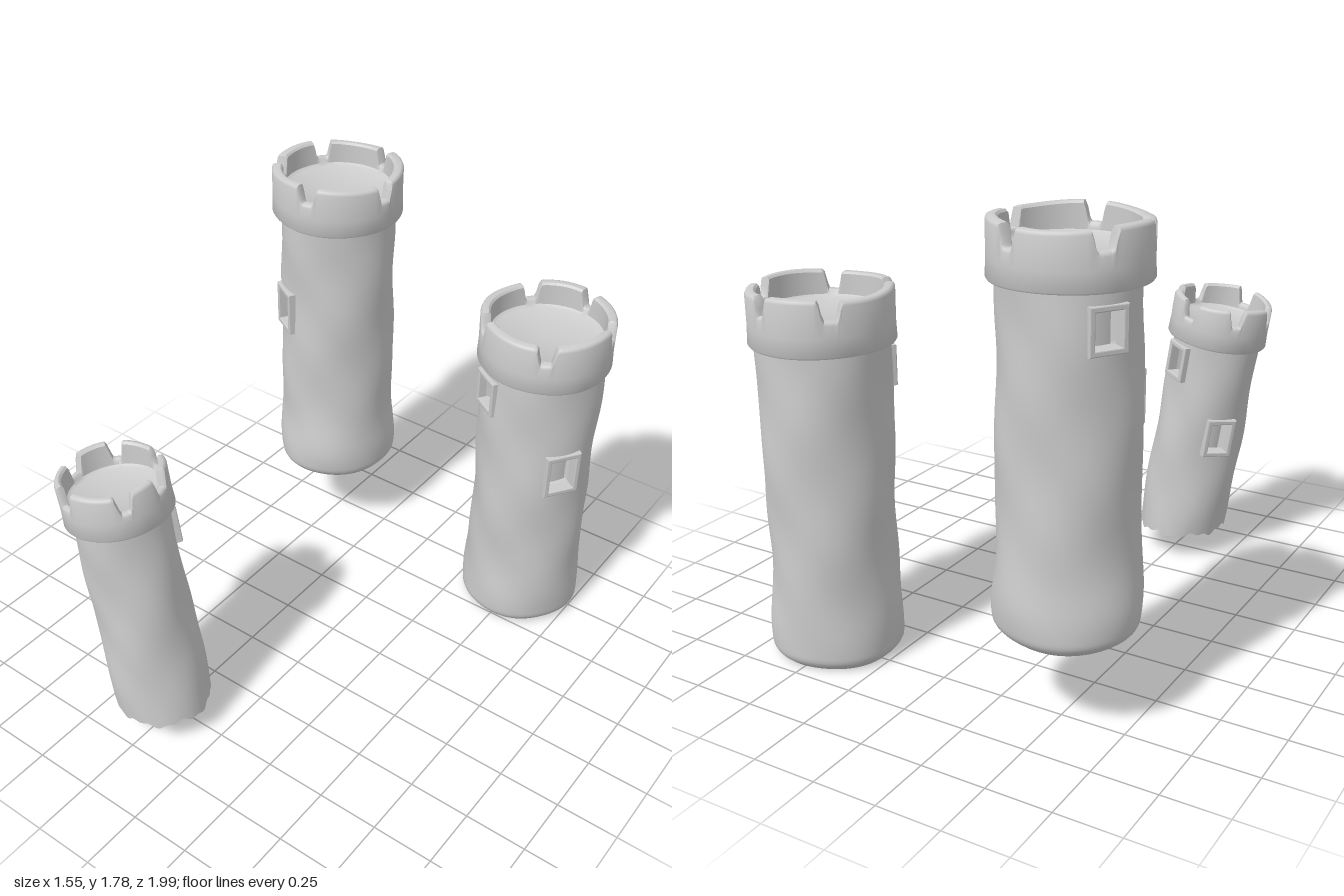
import * as THREE from 'three';
import { toCreasedNormals } from 'three/addons/utils/BufferGeometryUtils.js';

const rad = THREE.MathUtils.degToRad;
const stone = new THREE.MeshStandardMaterial({ color: 0xcccccc, side: THREE.DoubleSide });

// Smallest signed difference between two angles
const angleDiff = (a, b) => Math.atan2(Math.sin(a - b), Math.cos(a - b));

// Closed rings stacked by a rule: point(row, angle) -> [radius, height]
function ringLoft(rows, cols, point) {
  const pos = [], index = [];
  for (let i = 0; i < rows; i++) {
    for (let j = 0; j < cols; j++) {
      const a = (j / cols) * Math.PI * 2;
      const [r, y] = point(i, a);
      pos.push(Math.sin(a) * r, y, Math.cos(a) * r);
      if (i === rows - 1) continue;
      const k = (j + 1) % cols, p = i * cols, q = p + cols;
      index.push(p + j, p + k, q + k, p + j, q + k, q + j);
    }
  }
  const g = new THREE.BufferGeometry();
  g.setAttribute('position', new THREE.Float32BufferAttribute(pos, 3));
  g.setIndex(index);
  // Enlarged while creasing so that close vertices stay distinct
  g.scale(100, 100, 100);
  return toCreasedNormals(g, 0.75).scale(0.01, 0.01, 0.01);
}

// Gentle hand-shaped unevenness of the wall
function wobble(a, y, seed) {
  return 0.004 * Math.sin(2 * a + 5 * y + seed)
    + 0.003 * Math.sin(3 * a - 11 * y + seed * 2)
    + 0.002 * Math.sin(5 * a + 17 * y + seed * 3);
}

// Round wall, pushed inwards behind every window
function makeBody(t) {
  const rows = 100;
  return ringLoft(rows, 128, (i, a) => {
    const f = i / (rows - 1);
    let y = f * (t.crownBase + 0.02);
    let r = t.radius + wobble(a, y, t.seed);
    r += t.flare * Math.exp(-(((y - 0.1) / 0.14) ** 2));
    if (t.tilt) {
      // Base of the leaning tower is broken off level and ragged
      const ragged = 0.008 * Math.sin(7 * a) + 0.006 * Math.sin(17 * a + 1);
      y += (1 - f) ** 6 * (ragged - Math.sin(a) * r * Math.tan(t.tilt));
    } else {
      // Rounded foot
      const low = Math.max(0, 1 - y / 0.045);
      r -= 0.028 * low * low;
    }
    for (const w of t.windows) {
      const side = Math.abs(angleDiff(a, rad(w.angle))) * t.radius;
      if (side < w.w / 2 - 0.012 && Math.abs(y - w.y) < w.h / 2 - 0.012) r = t.radius - 0.05;
    }
    return [r, y];
  });
}

// Parapet with notches, a hollow inside and a sunken floor
function makeCrown(t) {
  const R = t.crownRadius, inner = R - t.wall;
  const topAt = (a) => {
    let drop = 0;
    t.notches.forEach((deg, n) => {
      const d = Math.abs(angleDiff(a, rad(deg))) * R;
      const half = 0.03 + 0.005 * Math.sin(n * 2.3 + t.seed);
      drop = Math.max(drop, 1 - THREE.MathUtils.smoothstep(d, half - 0.01, half + 0.012));
    });
    return t.height - 0.07 * drop - 0.005 * (1 - Math.sin(3 * a + t.seed));
  };
  const floor = t.height - 0.105;
  return ringLoft(12, 200, (i, a) => {
    const top = topAt(a), b = t.crownBase;
    const dr = 0.6 * wobble(a, 0.4, t.seed + 1);
    return [
      [t.radius - 0.02, b + 0.004], [R - 0.004 + dr, b], [R + dr, b + 0.006],
      [R - 0.003 + dr, b + 0.07], [R - 0.002 + dr, top - 0.014], [R - 0.006 + dr, top - 0.004],
      [R - 0.014 + dr, top], [inner + 0.01, top], [inner + 0.002, top - 0.008],
      [inner, floor + 0.01], [inner - 0.012, floor], [0.0005, floor + 0.004],
    ][i];
  });
}

// Rectangular frame standing slightly proud of the wall
function makeFrame(w) {
  const rect = (path, x, y) => path.moveTo(-x, -y).lineTo(x, -y).lineTo(x, y).lineTo(-x, y).closePath();
  const bar = 0.02, bevel = 0.004;
  const shape = rect(new THREE.Shape(), w.w / 2 - bevel, w.h / 2 - bevel);
  shape.holes.push(rect(new THREE.Path(), w.w / 2 - bar + bevel, w.h / 2 - bar + bevel));
  return new THREE.ExtrudeGeometry(shape, {
    depth: 0.05, bevelEnabled: true, bevelSize: bevel, bevelThickness: bevel, bevelSegments: 2,
  });
}

function makeTower(t) {
  const tower = new THREE.Group();
  tower.name = t.name;
  const add = (name, geometry) => {
    const mesh = new THREE.Mesh(geometry, stone);
    mesh.name = name;
    tower.add(mesh);
    return mesh;
  };
  add('towerWall', makeBody(t));
  add('battlement', makeCrown(t));
  for (const w of t.windows) {
    const frame = add('windowFrame', makeFrame(w));
    const a = rad(w.angle), r = t.radius - 0.042;
    frame.position.set(Math.sin(a) * r, w.y, Math.cos(a) * r);
    frame.rotation.y = a;
  }
  tower.position.set(...t.position);
  tower.rotation.z = t.tilt;
  return tower;
}

const towers = [
  {
    name: 'tallTower', position: [-0.505, 0.35, -0.715], tilt: 0, seed: 1,
    radius: 0.242, flare: 0.022, height: 1.43, crownBase: 1.23, crownRadius: 0.27, wall: 0.045,
    notches: [8, 82, 163, -127, -68],
    windows: [
      { angle: -31, y: 0.808, w: 0.14, h: 0.19 },
      { angle: -122, y: 1.11, w: 0.14, h: 0.16 },
    ],
  },
  {
    name: 'middleTower', position: [0.507, 0, -0.727], tilt: 0, seed: 4,
    radius: 0.242, flare: 0.009, height: 1.435, crownBase: 1.228, crownRadius: 0.27, wall: 0.045,
    notches: [-44, 28, 103, 167, -134],
    windows: [
      { angle: -34, y: 1.115, w: 0.14, h: 0.155 },
      { angle: 56, y: 0.815, w: 0.15, h: 0.19 },
    ],
  },
  {
    name: 'leaningTower', position: [-0.265, 0.115, 0.782], tilt: rad(8.5), seed: 2,
    radius: 0.185, flare: 0.004, height: 1.075, crownBase: 0.89, crownRadius: 0.208, wall: 0.034,
    notches: [-11, 58, 105, 160, -140, -85],
    windows: [
      { angle: 148, y: 0.79, w: 0.12, h: 0.155 },
      { angle: -132, y: 0.495, w: 0.13, h: 0.17 },
    ],
  },
];

export function createModel() {
  const model = new THREE.Group();
  model.name = 'castleTowers';
  for (const t of towers) model.add(makeTower(t));
  return model;
}
